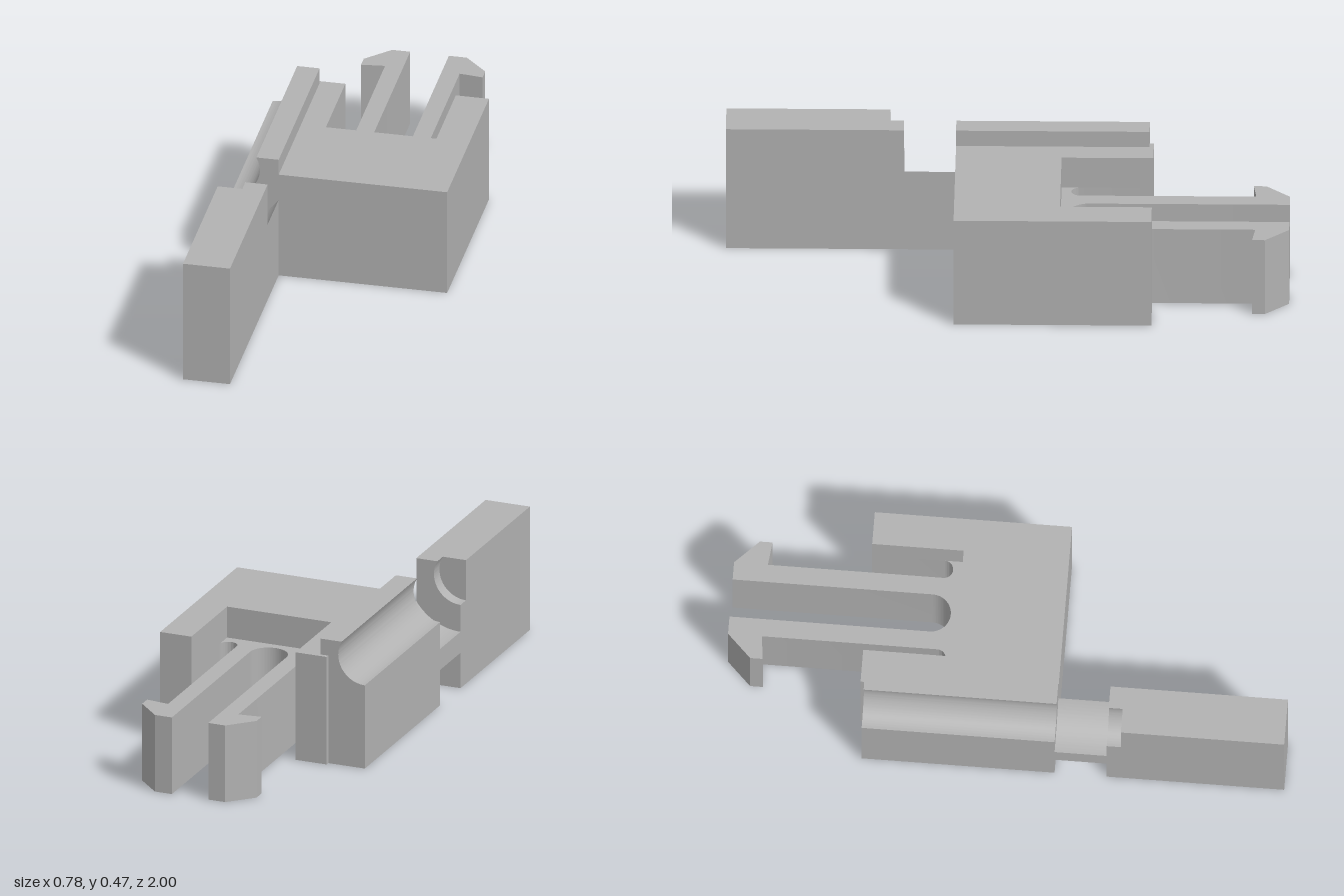
import * as THREE from 'three';
import { toCreasedNormals } from 'three/addons/utils/BufferGeometryUtils.js';

const H = 0.467;       // rail height
const BODY = 0.407;    // body height
const FLOOR = 0.29;    // pocket floor and clip height
const FRONT = 0.185;   // front of the body
const L = -0.39, R = -0.22; // rail sides

function extrude(shape, depth) {
  return new THREE.ExtrudeGeometry(shape, { depth, bevelEnabled: false, curveSegments: 24 });
}

function polygon(points) {
  return new THREE.Shape(points.map(([x, y]) => new THREE.Vector2(x, y)));
}

export function createModel() {
  const group = new THREE.Group();
  const grey = new THREE.MeshStandardMaterial({ color: 0xb2b2b2 });
  grey.name = 'grey';

  function add(name, geometry) {
    const mesh = new THREE.Mesh(toCreasedNormals(geometry, 0.5), grey);
    mesh.name = name;
    group.add(mesh);
  }
  // Cross-section in x, y swept from z0 to z1
  function alongZ(name, shape, z0, z1) {
    add(name, extrude(shape, z1 - z0).translate(0, 0, z0));
  }
  // Plan in x, -z raised from y0 to y1
  function upward(name, shape, y0, y1) {
    add(name, extrude(shape, y1 - y0).rotateX(-Math.PI / 2).translate(0, y0, 0));
  }

  // Lower body with slots and the two hooked clip arms
  const base = new THREE.Shape();
  const line = (...points) => points.forEach(([x, y]) => base.lineTo(x, y));
  base.moveTo(-0.25, -FRONT);
  line([0.39, -FRONT], [0.39, 0.515], [0.27, 0.515]);
  base.absarc(0.2375, 0.2575, 0.0325, 0, -Math.PI, true);
  line([0.205, 0.88], [0.29, 0.87], [0.29, 0.915], [0.205, 1], [0.14, 1]);
  base.absarc(0.07, 0.29, 0.07, 0, -Math.PI, true);
  line([0, 1], [-0.065, 1], [-0.15, 0.915], [-0.15, 0.87], [-0.065, 0.88]);
  base.absarc(-0.0975, 0.2575, 0.0325, 0, -Math.PI, true);
  line([-0.13, 0.515], [-0.25, 0.515]);
  base.closePath();
  upward('bodyBaseWithClips', base, 0, FLOOR);

  // Upper body around the pocket
  upward('bodyTop', polygon([
    [-0.25, -FRONT], [0.39, -FRONT], [0.39, 0.515], [0.27, 0.515],
    [0.27, 0.19], [-0.13, 0.19], [-0.13, 0.515], [-0.25, 0.515],
  ]), FLOOR, BODY);

  // Rail with a round groove along its upper outer edge
  const cy = 0.417, r = 0.102;
  const grooved = new THREE.Shape();
  grooved.moveTo(L, 0);
  grooved.lineTo(R, 0);
  grooved.lineTo(R, H);
  grooved.absarc(L, cy, r, Math.asin((H - cy) / r), -Math.PI / 2, true);
  grooved.closePath();
  alongZ('groovedRail', grooved, -0.5, FRONT);
  alongZ('socketEnd', grooved, 0.37, 0.42);

  // Thin neck, hollowed above and below
  const R2 = 0.2036;
  const neck = new THREE.Shape();
  neck.moveTo(L + 0.134, 0);
  neck.lineTo(R, 0);
  neck.absarc(L, cy, R2, -Math.acos((R - L) / R2), -Math.PI / 2, true);
  neck.absarc(L, 0, 0.134, Math.PI / 2, 0, true);
  alongZ('neck', neck, FRONT, 0.37);

  // Solid front block
  alongZ('frontBlock', polygon([[L, 0], [R, 0], [R, H], [L, H]]), 0.42, 1);

  return group;
}
